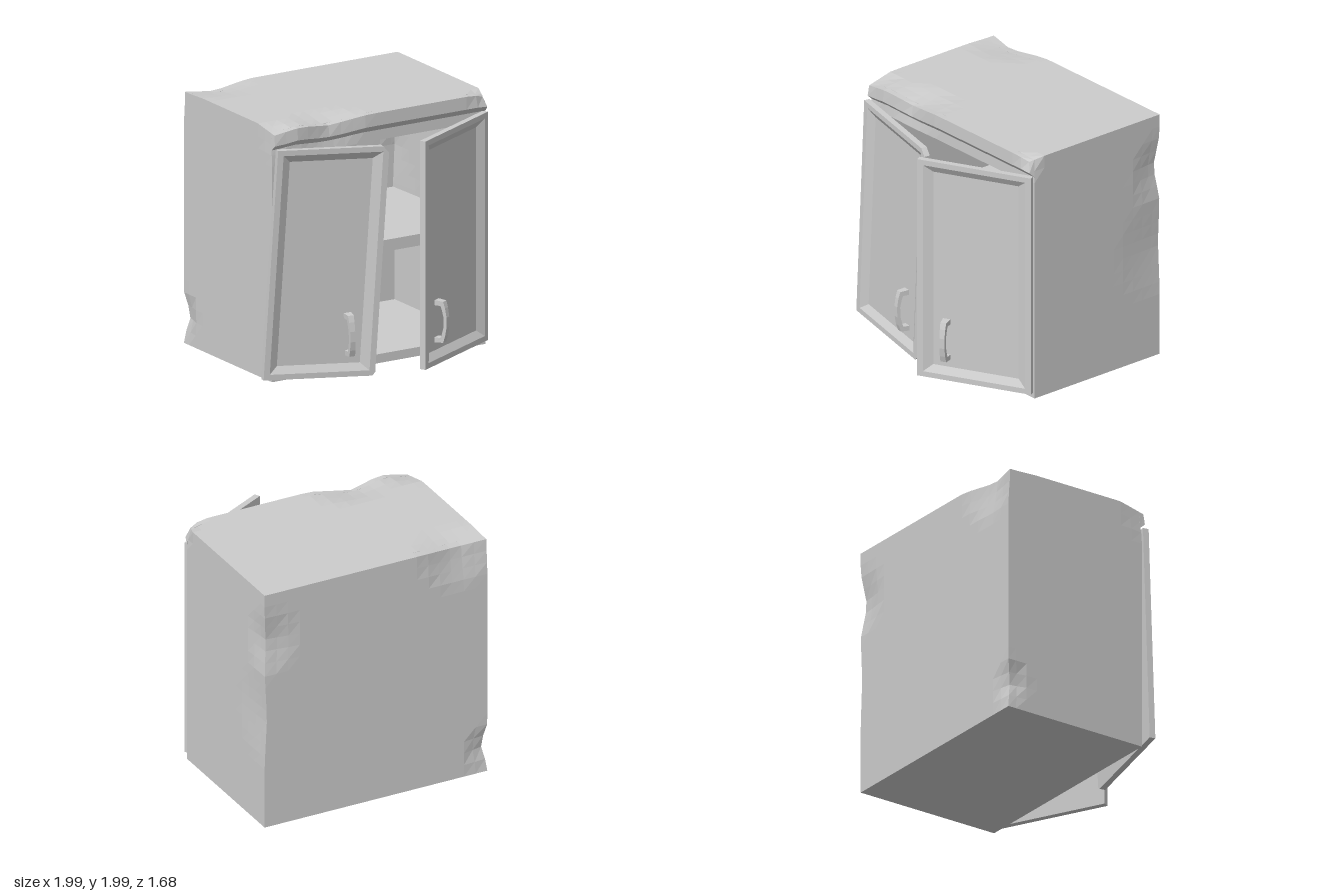
import * as THREE from 'three';

const grey = new THREE.MeshStandardMaterial({ color: 0xcccccc, flatShading: true });

// Worn spots on the carcass: centre, reach, push
const dents = [
  { at: [-0.67, 2, -0.84], r: 0.33, push: [0, -0.03, 0.05] },
  { at: [0.99, 1.57, -0.84], r: 0.27, push: [-0.03, 0, 0.04] },
  { at: [0.99, 0.95, -0.84], r: 0.4, push: [-0.02, 0, 0] },
  { at: [-0.9, 0.25, -0.84], r: 0.18, push: [0.04, 0, 0.04] },
  { at: [-0.9, 2, 0.44], r: 0.25, push: [0.01, -0.045, -0.03] },
  { at: [-0.4, 2, 0.44], r: 0.32, push: [0, -0.045, -0.045] },
  { at: [0.99, 2, 0.44], r: 0.14, push: [-0.04, -0.03, -0.03] },
].map((d) => ({ at: new THREE.Vector3(...d.at), r: d.r, push: new THREE.Vector3(...d.push) }));

function moveVertices(geometry, rule) {
  const pos = geometry.attributes.position;
  const v = new THREE.Vector3();
  for (let i = 0; i < pos.count; i++) {
    v.fromBufferAttribute(pos, i);
    rule(v);
    pos.setXYZ(i, v.x, v.y, v.z);
  }
  geometry.computeVertexNormals();
}

// Subdivided board between two corners, worn by the dents
function board(name, min, max, shape = () => {}) {
  const size = max.map((m, i) => m - min[i]);
  const segs = size.map((s) => Math.max(1, Math.round(s / 0.1)));
  const geometry = new THREE.BoxGeometry(...size, ...segs);
  geometry.translate(...min.map((m, i) => (m + max[i]) / 2));
  moveVertices(geometry, (v) => {
    shape(v);
    const start = v.clone();
    for (const d of dents) {
      v.addScaledVector(d.push, Math.max(0, 1 - start.distanceTo(d.at) / d.r));
    }
  });
  const mesh = new THREE.Mesh(geometry, grey);
  mesh.name = name;
  return mesh;
}

// Eight-point rectangle loop with clipped corners (order: BR, TR, TL, BL)
function doorLoop(w, h, z, [br, tr, tl, bl]) {
  return [
    [w - br, -h, z], [w, -h + br, z], [w, h - tr, z], [w - tr, h, z],
    [-w + tl, h, z], [-w, h - tl, z], [-w, -h + bl, z], [-w + bl, -h, z],
  ];
}

// Door leaf with a raised frame, sloping moulding and recessed panel
function doorLeaf(width, height, cuts) {
  const w = width / 2, h = height / 2, none = [0, 0, 0, 0];
  const loops = [
    doorLoop(w, h, -0.047, cuts),
    doorLoop(w, h, 0, cuts),
    doorLoop(w - 0.047, h - 0.042, 0, none),
    doorLoop(w - 0.115, h - 0.098, -0.036, none),
  ];
  const n = 8, index = [];
  for (let k = 0; k < loops.length - 1; k++) {
    for (let i = 0; i < n; i++) {
      const a = k * n + i, b = k * n + ((i + 1) % n);
      index.push(a, b, b + n, a, b + n, a + n);
    }
  }
  const front = (loops.length - 1) * n;
  for (let i = 1; i < n - 1; i++) {
    index.push(0, i + 1, i, front, front + i, front + i + 1);
  }
  const geometry = new THREE.BufferGeometry();
  geometry.setAttribute('position', new THREE.Float32BufferAttribute(loops.flat(2), 3));
  geometry.setIndex(index);
  geometry.computeVertexNormals();
  const mesh = new THREE.Mesh(geometry, grey);
  mesh.name = 'doorLeaf';
  return mesh;
}

// Bowed pull handle: side profile (depth, height) extruded across its width
function pullHandle() {
  const half = [[0, 0.165], [0.072, 0.16], [0.088, 0.11], [0.1, 0.04]];
  const inner = [[0.075, 0.04], [0.06, 0.1], [0.05, 0.125], [0, 0.125]];
  const flip = (pts) => pts.map(([x, y]) => [x, -y]).reverse();
  const outline = [...half, ...flip(half), ...flip(inner), ...inner];
  const shape = new THREE.Shape(outline.map(([x, y]) => new THREE.Vector2(x, y)));
  const geometry = new THREE.ExtrudeGeometry(shape, { depth: 0.06, bevelEnabled: false });
  geometry.translate(0, 0, -0.03);
  geometry.rotateY(-Math.PI / 2);
  // Bar is narrower than its feet
  moveVertices(geometry, (v) => { v.x *= 1 - 3.5 * Math.max(0, v.z - 0.01); });
  const mesh = new THREE.Mesh(geometry, grey);
  mesh.name = 'handle';
  return mesh;
}

function door(name, { width, cuts, position, turn, tilt, handleX, handleTilt }) {
  const group = new THREE.Group();
  group.name = name;
  const handle = pullHandle();
  handle.position.set(handleX, -0.565, -0.038);
  handle.rotation.z = handleTilt;
  group.add(doorLeaf(width, 1.78, cuts), handle);
  group.position.set(...position);
  group.rotation.set(0, turn, tilt);
  return group;
}

export function createModel() {
  const model = new THREE.Group();
  model.name = 'wallCabinet';

  // Carcass
  const L = -0.9, R = 0.99, wall = 0.07, back = -0.84, front = 0.39;
  const carcass = new THREE.Group();
  carcass.name = 'carcass';
  carcass.add(
    board('backPanel', [L, 0.03, back], [R, 2, back + wall]),
    board('rightSide', [L, 0.03, back + wall], [L + wall, 2, front]),
    board('leftSide', [R - wall, 0.03, back + wall], [R, 2, front]),
    board('bottomPanel', [L + wall, 0.03, back + wall], [R - wall, 0.1, front]),
    board('topPanel', [L + wall, 1.77, back + wall], [R - wall, 2, front]),
    board('shelf', [L + wall, 0.89, back + wall], [R - wall, 0.98, front]),
    // Lip over the doors, sloped underneath
    board('cornice', [L, 1.85, front], [R, 2, 0.44], (v) => {
      if (v.z > 0.43 && v.y < 1.9) v.y = 1.9;
    }),
  );
  model.add(carcass);

  // Open door, and the door hanging askew
  model.add(
    door('leftDoor', {
      width: 0.92, cuts: [0, 0, 0, 0], position: [0.58, 0.96, 0.635],
      turn: 0.473, tilt: 0, handleX: -0.235, handleTilt: 0,
    }),
    door('rightDoor', {
      width: 0.9, cuts: [0.025, 0.05, 0, 0], position: [-0.505, 0.93, 0.53],
      turn: -0.181, tilt: -0.066, handleX: 0.225, handleTilt: 0.1,
    }),
  );
  return model;
}
